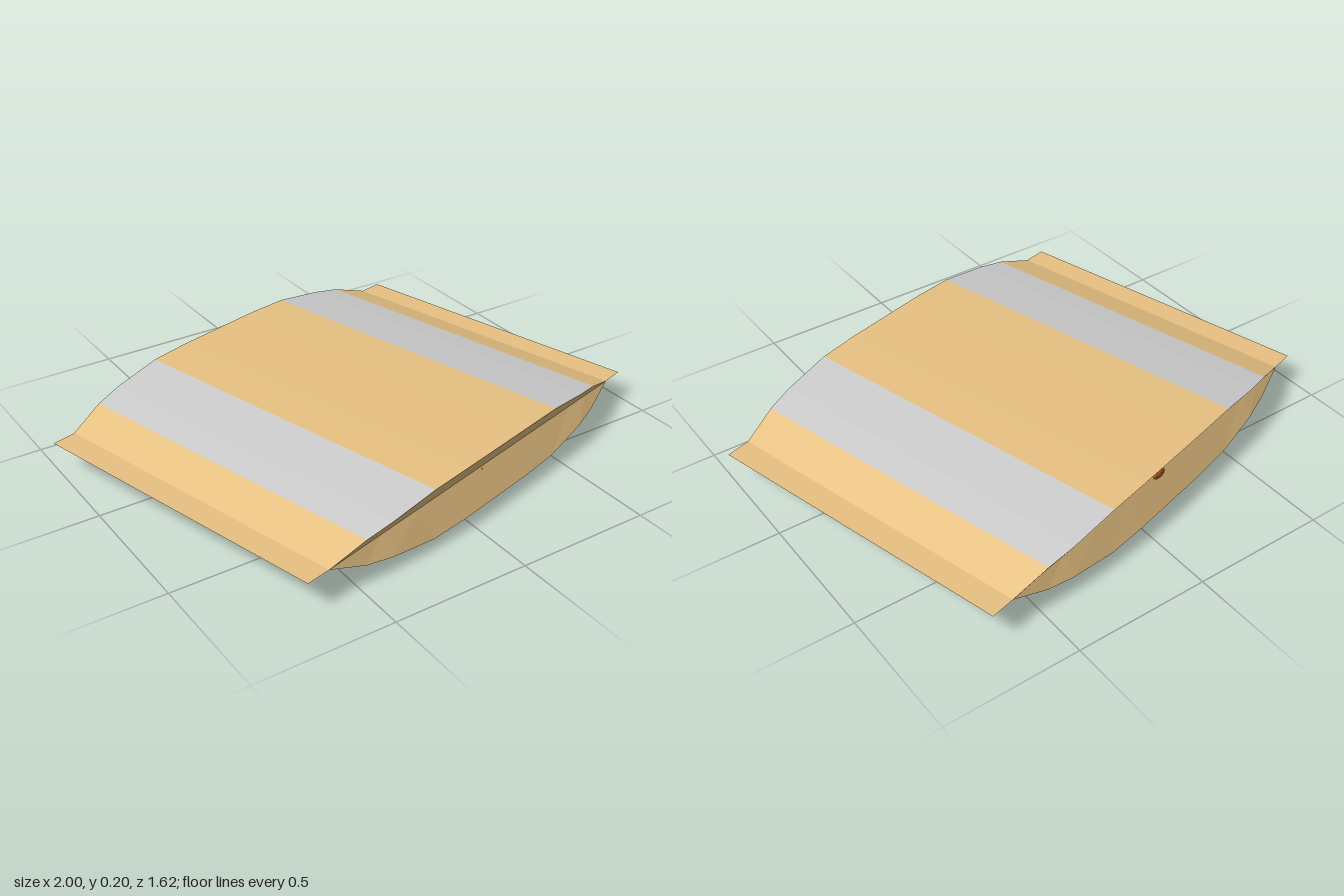
import * as THREE from 'three';

const MID = 0.1;      // height of the seam plane
const CREASE = 0.605; // depth of the folded-in side gusset

// Half profile along the length: [u, half thickness, half width]
const half = [
  [0.18, 0.1, 0.669], [0.34, 0.096, 0.665], [0.533, 0.068, 0.651],
  [0.64, 0.048, 0.634], [0.781, 0, CREASE],
];
const stations = [...half.map(([u, t, w]) => [-u, t, w]).reverse(), ...half];

// Flat-shaded mesh from a list of four-cornered faces
function quadMesh(name, quads, material) {
  const pos = [];
  for (const [a, b, c, d] of quads) pos.push(...a, ...b, ...c, ...a, ...c, ...d);
  const geo = new THREE.BufferGeometry();
  geo.setAttribute('position', new THREE.Float32BufferAttribute(pos, 3));
  geo.computeVertexNormals();
  const mesh = new THREE.Mesh(geo, material);
  mesh.name = name;
  return mesh;
}

export function createModel() {
  const model = new THREE.Group();
  const bag = new THREE.Group();
  bag.name = 'pillowBag';
  bag.rotation.y = THREE.MathUtils.degToRad(15);
  model.add(bag);

  const mat = (color) => new THREE.MeshStandardMaterial({
    color, flatShading: true, side: THREE.DoubleSide,
  });
  const tan = mat(0xe7c182), grey = mat(0xcccccc), brown = mat(0xa8561c);

  // Top and bottom panels, with a grey stripe near each end
  const stripe = [], plain = [], gusset = [];
  for (let i = 0; i < stations.length - 1; i++) {
    const [u0, t0, w0] = stations[i], [u1, t1, w1] = stations[i + 1];
    const centre = Math.abs(u0 + u1) / 2;
    const list = centre > 0.34 && centre < 0.64 ? stripe : plain;
    for (const s of [1, -1]) {
      const y0 = MID + s * t0, y1 = MID + s * t1;
      const panel = [[u0, y0, -w0], [u0, y0, w0], [u1, y1, w1], [u1, y1, -w1]];
      list.push(s > 0 ? panel : panel.reverse());

      // Gussets: each long side folds inward to a straight crease
      for (const k of [1, -1]) {
        const side = [[u0, MID, k * CREASE], [u1, MID, k * CREASE],
          [u1, y1, k * w1], [u0, y0, k * w0]];
        gusset.push(s * k > 0 ? side : side.reverse());
      }
    }
  }
  bag.add(quadMesh('panels', plain, tan));
  bag.add(quadMesh('stripes', stripe, grey));
  bag.add(quadMesh('sideGussets', gusset, tan));

  // Flat sealed flap at each end
  for (const s of [1, -1]) {
    const flap = [[s * 0.781, MID, -s * CREASE], [s * 0.781, MID, s * CREASE],
      [s * 0.873, MID, s * 0.603], [s * 0.873, MID, -s * 0.603]];
    bag.add(quadMesh(s > 0 ? 'leftSealFlap' : 'rightSealFlap', [flap], tan));
  }

  // Small bits of the contents poking through: [x, y, z, rx, ry, rz]
  const bits = [
    [0, 0.09, -0.595, 0.045, 0.022, 0.025],
    [-0.01, 0.09, 0.6, 0.018, 0.006, 0.012],
    [0.613, 0.057, 0.125, 0.018, 0.009, 0.042],
  ];
  for (const [x, y, z, rx, ry, rz] of bits) {
    const bit = new THREE.Mesh(new THREE.IcosahedronGeometry(1, 1), brown);
    bit.name = 'contentsBit';
    bit.position.set(x, y, z);
    bit.scale.set(rx, ry, rz);
    bag.add(bit);
  }
  return model;
}
